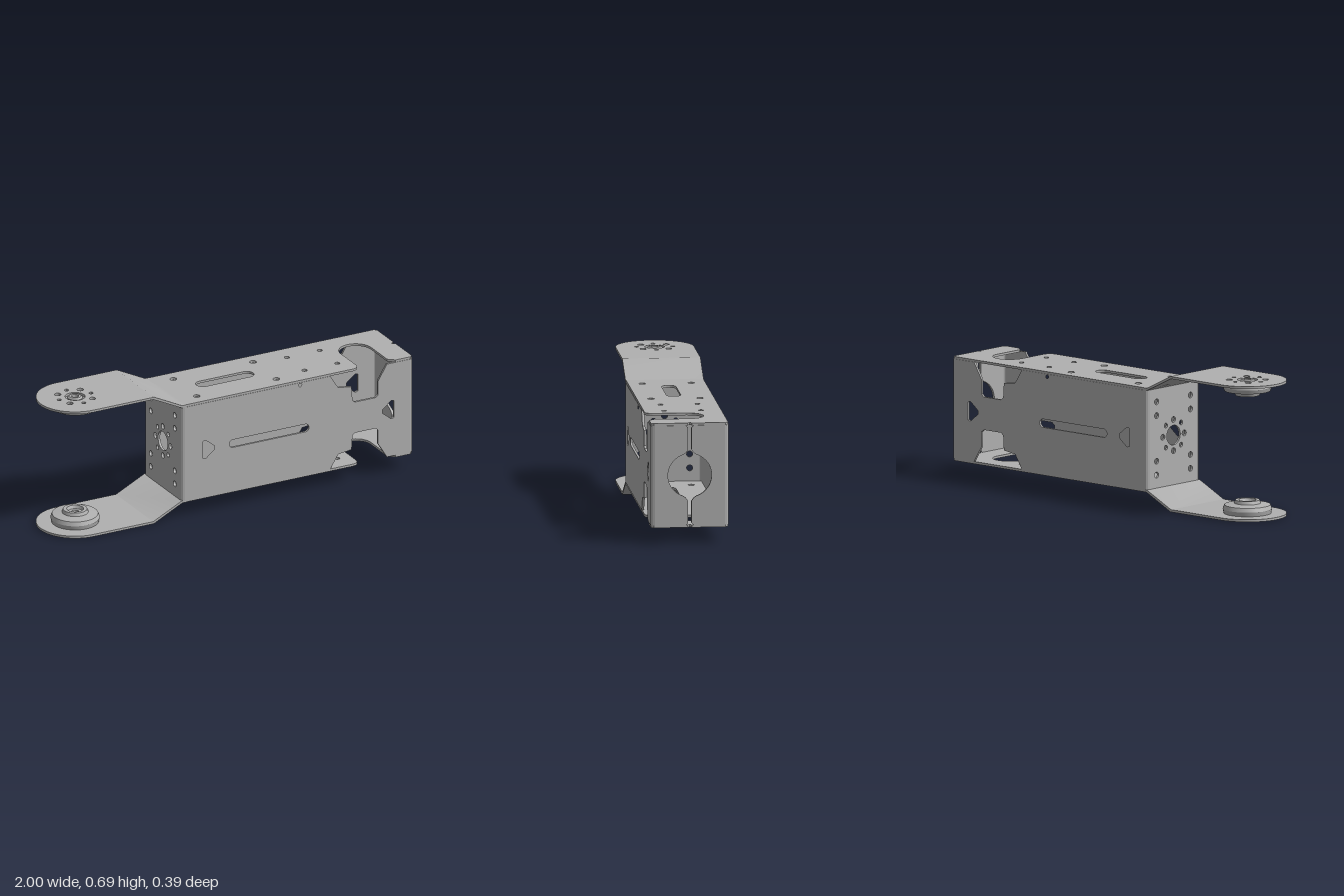
import * as THREE from 'three';
import { toCreasedNormals } from 'three/addons/utils/BufferGeometryUtils.js';

const T = 0.012;              // sheet thickness
const MID = 0.345;            // height of the mirror plane
const HALF_W = 0.195;         // half width in z
const HALF_H = 0.263;         // half height of the box body
const R = 0.02;               // bend radius
const ARM_X = -0.805;         // pivot centre

const poly = (pts) => new THREE.Shape(pts.map(([x, y]) => new THREE.Vector2(x, y)));

function addCircle(shape, x, y, r) {
  const p = new THREE.Path();
  p.absarc(x, y, r, 0, Math.PI * 2, true);
  shape.holes.push(p);
}

function addSlot(shape, x0, x1, y, r) {
  const p = new THREE.Path();
  p.absarc(x0 + r, y, r, Math.PI / 2, Math.PI * 1.5, false);
  p.absarc(x1 - r, y, r, -Math.PI / 2, Math.PI / 2, false);
  p.closePath();
  shape.holes.push(p);
}

function addPolyHole(shape, pts) {
  shape.holes.push(new THREE.Path(pts.map(([x, y]) => new THREE.Vector2(x, y))));
}

// Eight holes on a ring around a larger one
function addFlower(shape, x, y, centre, ring, rA, rB) {
  addCircle(shape, x, y, centre);
  for (let i = 0; i < 8; i++) {
    const a = i * Math.PI / 4;
    addCircle(shape, x + ring * Math.cos(a), y + ring * Math.sin(a), i % 2 ? rB : rA);
  }
}

const sheet = (shape, depth = T) => toCreasedNormals(
  new THREE.ExtrudeGeometry(shape, { depth, bevelEnabled: false, curveSegments: 16 }), 0.6);

export function createModel() {
  const group = new THREE.Group();
  const steel = new THREE.MeshStandardMaterial({ color: 0xb0b0b0 });
  steel.name = 'steel grey';
  const add = (name, geometry) => {
    const m = new THREE.Mesh(geometry, steel);
    m.name = name;
    group.add(m);
    return m;
  };

  // Front and back panels, heights measured from the mirror plane
  const h = HALF_H - T;
  const edge = [[0.53, h], [0.575, 0.18], [0.65, 0.17], [0.655, 0.095], [0.67, 0.083],
    [0.785, 0.083], [0.80, 0.095], [0.80, 0.17], [0.85, h], [1 - R, h]];
  const side = poly([[-0.31 + R, h], ...edge,
    ...edge.map(([x, y]) => [x, -y]).reverse(), [-0.31 + R, -h]]);
  addSlot(side, -0.04, 0.41, 0, 0.021);
  addPolyHole(side, [[-0.19, 0.045], [-0.175, 0.05], [-0.125, 0.01], [-0.125, -0.01],
    [-0.175, -0.05], [-0.19, -0.045]]);
  addPolyHole(side, [[0.89, 0.045], [0.875, 0.05], [0.825, 0.01], [0.825, -0.01],
    [0.875, -0.05], [0.89, -0.045]]);
  addCircle(side, 0.36, 0.238, 0.009);
  add('frontPanel', sheet(side).translate(0, MID, HALF_W - T));
  add('backPanel', sheet(side).translate(0, MID, -HALF_W));

  // Rounded vertical bends at the four corners
  const bend = new THREE.Shape();
  bend.absarc(0, 0, R, 0, Math.PI / 2, false);
  bend.absarc(0, 0, R - T, Math.PI / 2, 0, true);
  bend.closePath();
  [[1 - R, 1, 0], [1 - R, -1, Math.PI / 2], [-0.31 + R, -1, Math.PI], [-0.31 + R, 1, -Math.PI / 2]]
    .forEach(([x, s, turn]) => {
      const g = sheet(bend, 2 * h).rotateX(Math.PI / 2).rotateY(turn);
      add('cornerBend', g.translate(x, MID + h, s * (HALF_W - R)));
    });

  // Closed end plate with its mounting holes (shape x becomes z)
  const w = HALF_W - R;
  const end = poly([[-w, -h], [w, -h], [w, h], [-w, h]]);
  addFlower(end, 0, 0, 0.05, 0.079, 0.015, 0.012);
  for (const sz of [-1, 1]) for (const sy of [-1, 1]) for (const y of [0.115, 0.185])
    addCircle(end, sz * 0.125, sy * y, 0.015);
  add('endPlate', sheet(end).rotateY(-Math.PI / 2).translate(-0.31 + T, MID, 0));

  // Two flaps closing the other end, around a round opening and a slit
  for (const s of [-1, 1]) {
    const flap = new THREE.Shape();
    const slit = 0.008, r = 0.109, a = Math.asin(slit / r);
    flap.moveTo(s * w, -h);
    flap.lineTo(s * 0.02, -h);
    flap.lineTo(s * slit, -h + 0.012);
    flap.lineTo(s * slit, -0.13);
    flap.lineTo(s * 0.02, -0.113);
    for (let i = 1; i < 24; i++) {
      const t = -Math.PI / 2 + a + (Math.PI - 2 * a) * i / 24;
      if (Math.abs(Math.sin(t)) < 0.97) flap.lineTo(s * r * Math.cos(t), r * Math.sin(t));
    }
    flap.lineTo(s * 0.02, 0.113);
    flap.lineTo(s * slit, 0.13);
    flap.lineTo(s * slit, h - 0.012);
    flap.lineTo(s * 0.02, h);
    flap.lineTo(s * w, h);
    flap.closePath();
    add('endFlap', sheet(flap).rotateY(-Math.PI / 2).translate(1, MID, 0));
  }

  // Top and bottom plates (shape y becomes z), notched from the front
  const z = HALF_W - 0.002;
  const deck = new THREE.Shape();
  deck.moveTo(-0.3, -z);
  deck.lineTo(0.985, -z);
  deck.lineTo(0.997, -z + 0.015);
  deck.lineTo(0.997, -0.012);
  deck.lineTo(0.98, 0);
  deck.lineTo(0.997, 0.012);
  deck.lineTo(0.997, z - 0.015);
  deck.lineTo(0.985, z);
  deck.lineTo(0.9, z);
  deck.lineTo(0.867, 0.165);
  deck.lineTo(0.867, -0.005);
  deck.absarc(0.782, -0.005, 0.085, 0, -Math.PI, true);
  deck.lineTo(0.697, 0.15);
  deck.quadraticCurveTo(0.695, z, 0.655, z);
  deck.lineTo(-0.3, z);
  deck.closePath();
  addSlot(deck, -0.12, 0.20, 0, 0.036);
  for (const s of [-1, 1]) {
    for (const x of [-0.185, 0.265]) addCircle(deck, x, s * 0.122, 0.017);
    for (const x of [0.44, 0.625]) addCircle(deck, x, s * 0.092, 0.013);
  }

  // Flat rounded arm pad
  const pad = new THREE.Shape();
  pad.moveTo(-0.47, -HALF_W);
  pad.lineTo(-0.47, HALF_W);
  pad.lineTo(ARM_X, HALF_W);
  pad.absarc(ARM_X, 0, HALF_W, Math.PI / 2, Math.PI * 1.5, false);
  pad.closePath();
  addFlower(pad, ARM_X, 0, 0.05, 0.09, 0.011, 0.016);

  // Pivot boss and its hollow hub, turned about the pivot axis
  const lathe = (pts) => toCreasedNormals(
    new THREE.LatheGeometry(pts.map(([x, y]) => new THREE.Vector2(x, y)), 40), 0.6);
  const bossProfile = [[0.018, 0], [0.118, 0], [0.123, 0.022], [0.115, 0.042], [0.066, 0.05],
    [0.06, 0.066], [0.042, 0.066], [0.035, 0.05], [0.018, 0.05], [0.018, 0]];
  const hubProfile = [[0.018, -0.015], [0.03, -0.015], [0.038, -0.008], [0.038, 0.002],
    [0.018, 0.002], [0.018, -0.015]];

  for (const s of [1, -1]) {
    const label = s > 0 ? 'top' : 'bottom';
    const flip = s > 0 ? Math.PI : 0;
    const at = (d) => MID + s * d;
    // extrusion runs downward after the turn, so start from the upper face
    const lay = (shape, outer) => sheet(shape).rotateX(Math.PI / 2)
      .translate(0, s > 0 ? at(outer) : at(outer) + T, 0);
    add(label + 'Plate', lay(deck, HALF_H));
    add(label + 'ArmPad', lay(pad, 0.342));

    // Sloped web joining plate and arm
    const web = poly([[-0.47, 0.342], [-0.465, 0.342], [-0.305, HALF_H], [-0.285, HALF_H],
      [-0.285, HALF_H - T], [-0.308, HALF_H - T], [-0.469, 0.342 - T], [-0.47, 0.342 - T]]
      .map(([x, y]) => [x, s * y]));
    add(label + 'ArmWeb', sheet(web, HALF_W * 2).translate(0, MID, -HALF_W));

    add(label + 'PivotBoss', lathe(bossProfile).rotateX(flip).translate(ARM_X, at(0.342 - T), 0));
    add(label + 'PivotHub', lathe(hubProfile).rotateX(flip).translate(ARM_X, at(0.342 - T), 0));
  }
  return group;
}
